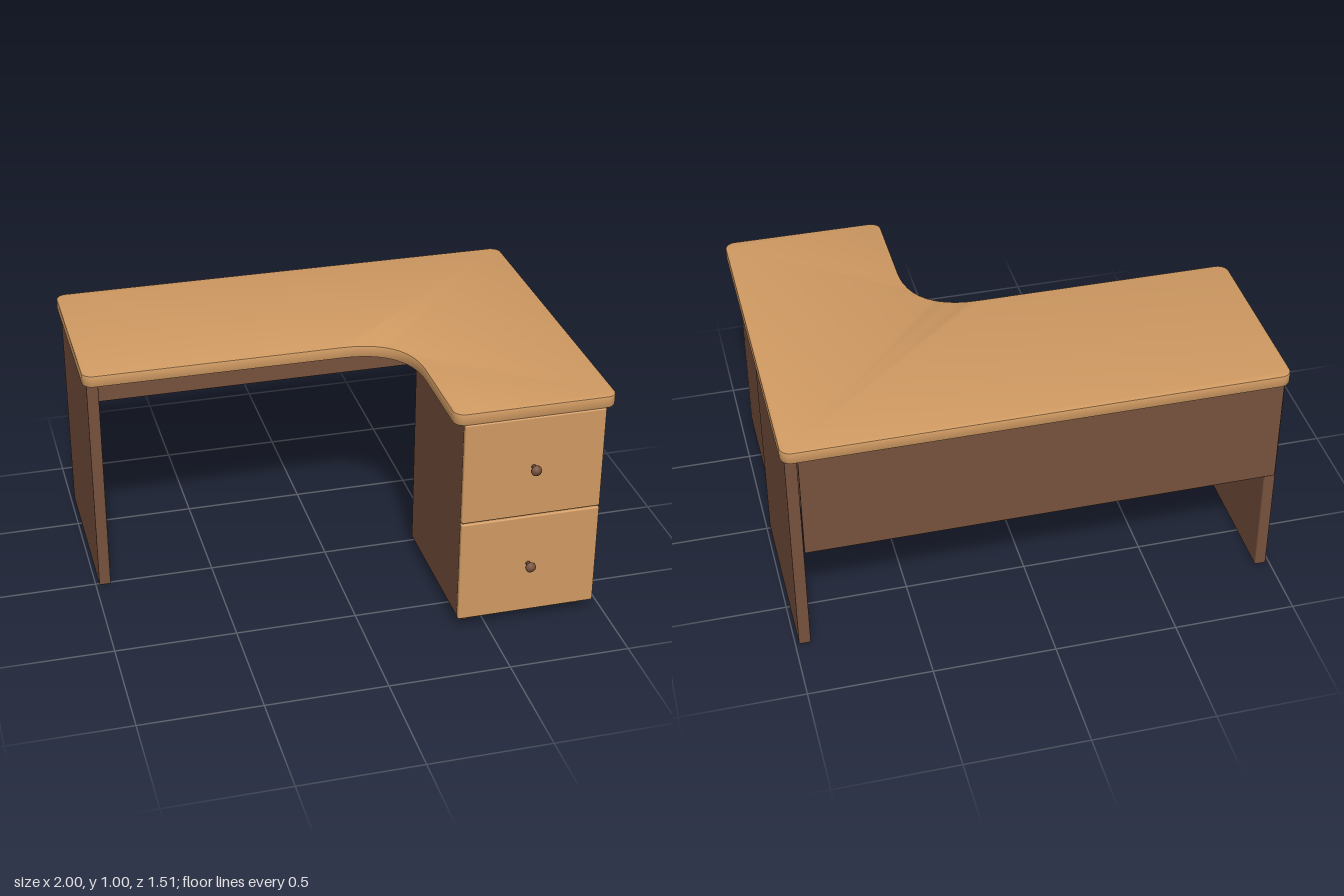
import * as THREE from 'three';
import { toCreasedNormals } from 'three/addons/utils/BufferGeometryUtils.js';
import { RoundedBoxGeometry } from 'three/addons/geometries/RoundedBoxGeometry.js';

const lightWood = new THREE.MeshStandardMaterial({ color: 0xd09a62 });
lightWood.name = 'lightWood';
const darkWood = new THREE.MeshStandardMaterial({ color: 0x76503c });
darkWood.name = 'darkWood';

export function createModel() {
  const desk = new THREE.Group();
  desk.name = 'cornerDesk';

  const add = (name, geometry, material, x = 0, y = 0, z = 0) => {
    const mesh = new THREE.Mesh(geometry, material);
    mesh.name = name;
    mesh.position.set(x, y, z);
    desk.add(mesh);
    return mesh;
  };
  // Softly rounded board given by its limits on each axis
  const board = (name, material, [x0, x1], [y0, y1], [z0, z1], r = 0.006) =>
    add(name, new RoundedBoxGeometry(x1 - x0, y1 - y0, z1 - z0, 2, r), material,
      (x0 + x1) / 2, (y0 + y1) / 2, (z0 + z1) / 2);

  // L-shaped top with rounded corners and a curved inner corner (shape y = -z)
  const r = 0.045, back = 0.757, inner = -0.035, front = -0.705, wing = 0.335;
  const s = new THREE.Shape();
  s.moveTo(-1 + r, inner);
  s.lineTo(0.06, inner);
  s.bezierCurveTo(0.24, inner, wing, -0.13, wing, -0.31);
  s.lineTo(wing, front + r);
  s.absarc(wing + r, front + r, r, Math.PI, Math.PI * 1.5, false);
  s.absarc(1 - r, front + r, r, -Math.PI / 2, 0, false);
  s.absarc(1 - r, back - r, r, 0, Math.PI / 2, false);
  s.absarc(-1 + r, back - r, r, Math.PI / 2, Math.PI, false);
  s.absarc(-1 + r, inner + r, r, Math.PI, Math.PI * 1.5, false);
  const bevel = 0.005;
  const top = new THREE.ExtrudeGeometry(s, {
    depth: 0.05 - 2 * bevel, curveSegments: 12,
    bevelThickness: bevel, bevelSize: bevel, bevelOffset: -bevel, bevelSegments: 2,
  });
  top.rotateX(-Math.PI / 2);
  add('deskTop', toCreasedNormals(top, 0.6), lightWood, 0, 0.95 + bevel, 0);

  // Side panels and the modesty panel across the back
  board('leftSidePanel', darkWood, [0.937, 0.985], [0, 0.95], [-0.725, 0.015]);
  board('rightSidePanel', darkWood, [-0.985, -0.937], [0, 0.95], [-0.725, 0.015]);
  board('modestyPanel', darkWood, [-0.98, 0.935], [0.48, 0.95], [-0.732, -0.712]);

  // Drawer cabinet
  board('cabinetBody', darkWood, [0.378, 0.955], [0.05, 0.95], [0.045, 0.68], 0.003);
  board('lowerDrawerFront', lightWood, [0.375, 0.955], [0.053, 0.501], [0.68, 0.707]);
  board('upperDrawerFront', lightWood, [0.375, 0.955], [0.507, 0.95], [0.68, 0.707]);

  // Turned knobs
  const knobProfile = [[0, 0], [0.01, 0], [0.008, 0.016], [0.014, 0.022], [0.022, 0.031],
    [0.022, 0.038], [0.014, 0.047], [0, 0.05]].map(([x, y]) => new THREE.Vector2(x, y));
  const knob = new THREE.LatheGeometry(knobProfile, 20);
  knob.rotateX(Math.PI / 2);
  for (const y of [0.28, 0.73]) add('drawerKnob', knob, darkWood, 0.663, y, 0.706);

  // Ball feet under the cabinet
  const foot = new THREE.SphereGeometry(0.027, 16, 12);
  for (const x of [0.425, 0.905])
    for (const z of [0.095, 0.63]) add('ballFoot', foot, darkWood, x, 0.027, z);

  return desk;
}
